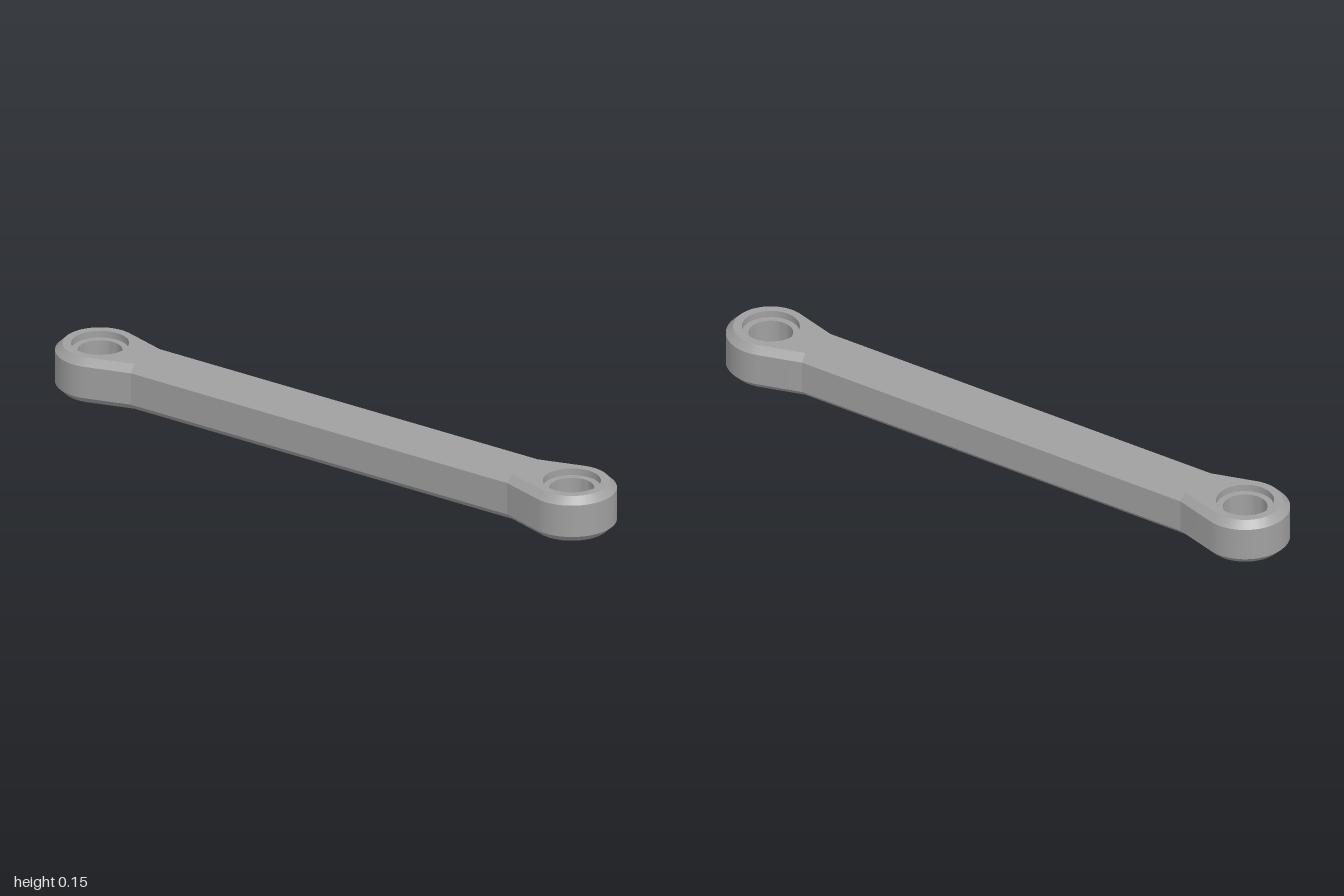
import * as THREE from 'three';
import { toCreasedNormals } from 'three/addons/utils/BufferGeometryUtils.js';

const H = 0.147, BEVEL = 0.022;       // thickness and edge chamfer
const EYE_X = 0.865, EYE_R = 0.135;   // rounded ends
const NECK_X = 0.69, NECK_Z = 0.088;  // where the bar meets the ends
const RECESS_R = 0.087;

// Outline of the link, counter-clockwise in (x, v), offset inwards by inset.
function outline(inset) {
  const dx = NECK_X - EYE_X, d = Math.hypot(dx, NECK_Z);
  const a = Math.atan2(NECK_Z, dx) - Math.acos(EYE_R / d); // tangent point angle
  const neckX = NECK_X + inset * (1 - Math.sin(a)) / -Math.cos(a);
  const neckZ = NECK_Z - inset, r = EYE_R - inset, n = 40;
  const right = [new THREE.Vector2(neckX, -neckZ)];
  for (let i = 0; i <= n; i++) {
    const t = -a + (2 * a * i) / n;
    right.push(new THREE.Vector2(EYE_X + r * Math.cos(t), r * Math.sin(t)));
  }
  right.push(new THREE.Vector2(neckX, neckZ));
  return [...right, ...right.map(p => new THREE.Vector2(-p.x, -p.y))];
}

// Side wall with chamfers, lofted through four rings.
function wallGeometry() {
  const levels = [[BEVEL, 0], [0, BEVEL], [0, H - BEVEL], [BEVEL, H]];
  const rings = levels.map(([inset, y]) => outline(inset).map(p => [p.x, y, -p.y]));
  const n = rings[0].length, pos = [];
  for (let k = 0; k < rings.length - 1; k++) {
    for (let i = 0; i < n; i++) {
      const j = (i + 1) % n;
      const a = rings[k][i], b = rings[k][j], c = rings[k + 1][j], d = rings[k + 1][i];
      pos.push(...a, ...b, ...c, ...a, ...c, ...d);
    }
  }
  const g = new THREE.BufferGeometry();
  g.setAttribute('position', new THREE.Float32BufferAttribute(pos, 3));
  return toCreasedNormals(g, 0.2);
}

// Flat face of the link with an opening at each end.
function faceGeometry() {
  const shape = new THREE.Shape(outline(BEVEL));
  for (const s of [-1, 1]) {
    shape.holes.push(new THREE.Path().absarc(s * EYE_X, 0, RECESS_R, 0, Math.PI * 2, true));
  }
  return new THREE.ShapeGeometry(shape, 32);
}

export function createModel() {
  const group = new THREE.Group();
  const steel = new THREE.MeshStandardMaterial({ color: 0xa0a0a0, side: THREE.DoubleSide });
  steel.name = 'grey steel';
  const add = (name, geometry) => {
    const mesh = new THREE.Mesh(geometry, steel);
    mesh.name = name;
    group.add(mesh);
    return mesh;
  };

  add('linkWall', wallGeometry());
  const top = add('topFace', faceGeometry());
  top.rotation.x = -Math.PI / 2;
  top.position.y = H;
  add('bottomFace', faceGeometry()).rotation.x = Math.PI / 2;

  // Stepped bore: shallow top recess, deep seat, small through hole, bottom recess.
  const profile = [
    [RECESS_R, H], [RECESS_R, H - 0.022], [0.067, H - 0.022], [0.067, 0.05],
    [0.04, 0.05], [0.04, 0.014], [0.05, 0.005], [RECESS_R, 0.005], [RECESS_R, 0],
  ].map(([r, y]) => new THREE.Vector2(r, y));
  const bore = toCreasedNormals(new THREE.LatheGeometry(profile, 48), 0.4);
  for (const s of [-1, 1]) {
    add(s > 0 ? 'leftBore' : 'rightBore', bore).position.x = s * EYE_X;
  }
  return group;
}
